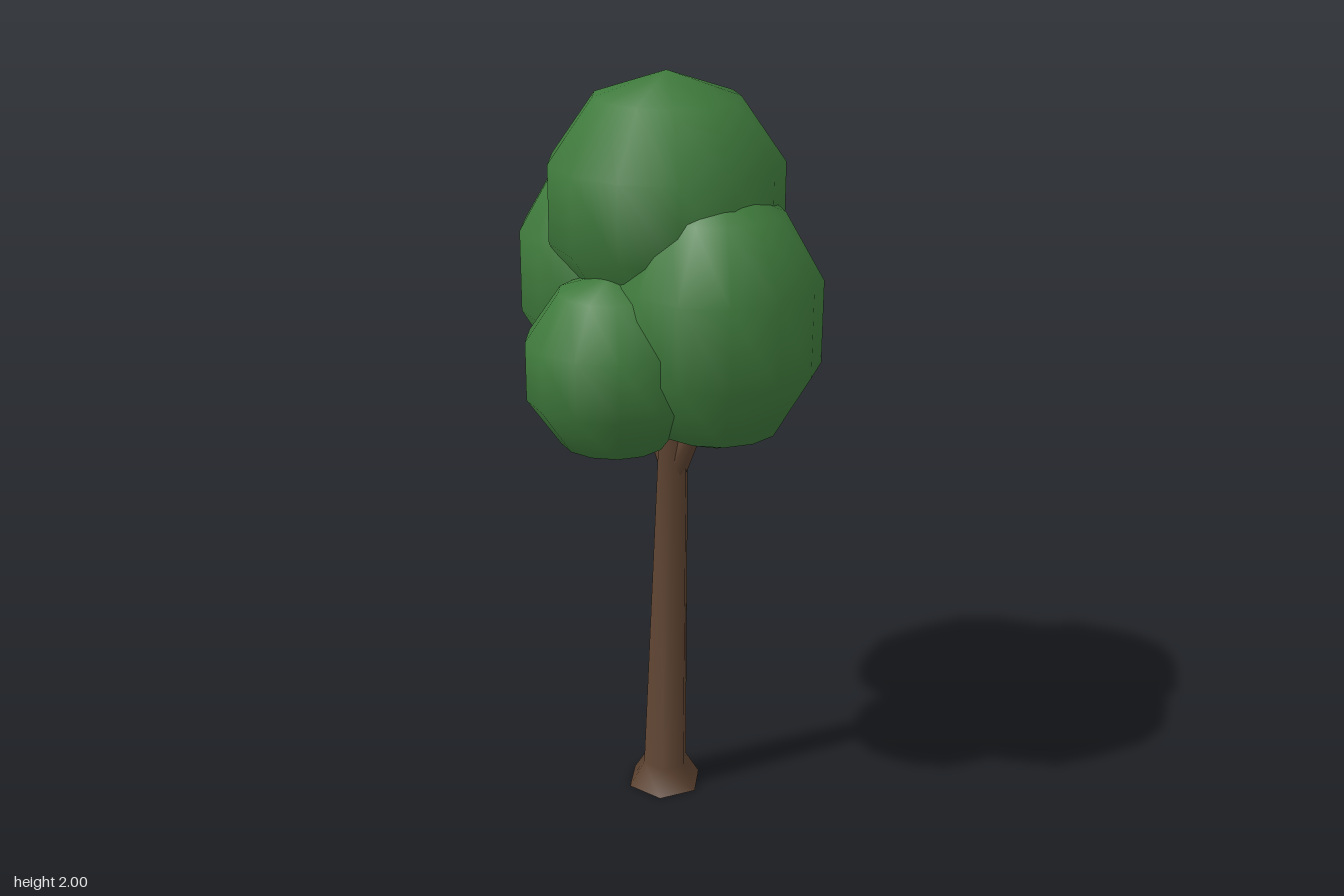
import * as THREE from 'three';
import { toCreasedNormals } from 'three/addons/utils/BufferGeometryUtils.js';

const bark = new THREE.MeshStandardMaterial({ color: 0x5c4230 });
const leaves = new THREE.MeshStandardMaterial({ color: 0x3f7a3c });

function add(group, name, geometry, material) {
  const mesh = new THREE.Mesh(geometry, material);
  mesh.name = name;
  group.add(mesh);
  return mesh;
}

// Six-sided trunk with a flared foot, leaning slightly to its left
function trunkGeometry() {
  const profile = [[0, 0], [0.106, 0], [0.064, 0.07], [0.043, 1.0], [0.03, 1.4], [0, 1.4]]
    .map(([r, y]) => new THREE.Vector2(r, y));
  const geo = new THREE.LatheGeometry(profile, 6, Math.PI / 2);
  const pos = geo.attributes.position;
  for (let i = 0; i < pos.count; i++) {
    pos.setX(i, pos.getX(i) + 0.024 * pos.getY(i) - 0.003);
  }
  return toCreasedNormals(geo, 1.2);
}

// Straight tapered limb between two points
function addBranch(group, name, from, to) {
  const a = new THREE.Vector3(...from);
  const b = new THREE.Vector3(...to);
  const dir = b.clone().sub(a);
  const geo = toCreasedNormals(new THREE.CylinderGeometry(0.022, 0.029, dir.length(), 6), 1.2);
  const mesh = add(group, name, geo, bark);
  mesh.position.copy(a).add(b).multiplyScalar(0.5);
  mesh.quaternion.setFromUnitVectors(new THREE.Vector3(0, 1, 0), dir.normalize());
}

export function createModel() {
  const tree = new THREE.Group();
  tree.name = 'tree';

  add(tree, 'trunk', trunkGeometry(), bark).position.z = -0.06;
  addBranch(tree, 'leftBranch', [0.03, 0.96, -0.06], [0.14, 1.2, -0.05]);
  addBranch(tree, 'rightBranch', [0.015, 0.96, -0.06], [-0.12, 1.22, -0.08]);

  // Foliage: coarse smooth-shaded ellipsoids, [name, centre, radii]
  const crown = [
    ['topFoliage', [-0.007, 1.68, -0.063], [0.315, 0.32, 0.307]],
    ['leftFoliage', [0.19, 1.415, -0.017], [0.27, 0.34, 0.27]],
    ['rightFoliage', [-0.19, 1.468, -0.109], [0.275, 0.343, 0.274]],
    ['frontFoliage', [-0.005, 1.302, 0.153], [0.232, 0.242, 0.23]],
  ];
  for (const [name, centre, radii] of crown) {
    const geo = new THREE.SphereGeometry(1, 13, 5, -Math.PI / 2).scale(...radii);
    add(tree, name, geo, leaves).position.set(...centre);
  }
  return tree;
}
